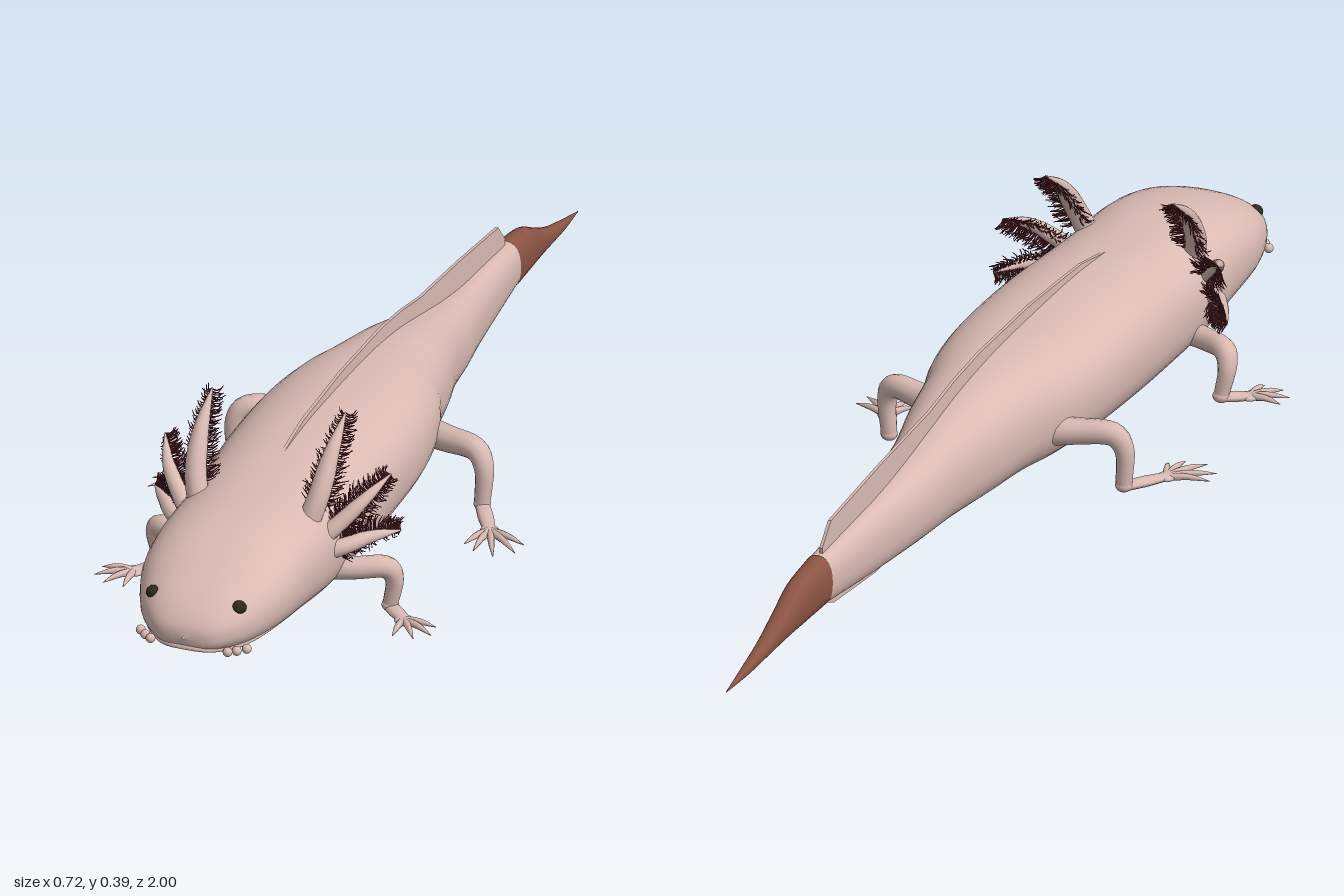
import * as THREE from 'three';
import { mergeGeometries } from 'three/addons/utils/BufferGeometryUtils.js';

const V = (p) => new THREE.Vector3(...p);
const material = (name, color) => Object.assign(new THREE.MeshStandardMaterial({ color }), { name });

// Cross-section stations from nose to tail: z, half width, top, bottom
const bodyStations = [
  [0.997, 0.002, 0.141, 0.138], [0.99, 0.05, 0.163, 0.115], [0.965, 0.085, 0.19, 0.102], [0.92, 0.115, 0.218, 0.088],
  [0.84, 0.142, 0.25, 0.075], [0.74, 0.152, 0.268, 0.058], [0.62, 0.157, 0.267, 0.037], [0.5, 0.16, 0.272, 0.03],
  [0.36, 0.165, 0.275, 0.03], [0.2, 0.163, 0.267, 0.033], [0.08, 0.145, 0.258, 0.033], [0, 0.12, 0.248, 0.033],
  [-0.1, 0.1, 0.23, 0.03], [-0.2, 0.076, 0.205, 0.028], [-0.3, 0.063, 0.18, 0.026], [-0.4, 0.047, 0.16, 0.024],
  [-0.5, 0.038, 0.148, 0.028], [-0.64, 0.029, 0.132, 0.038],
];
const tailStations = [
  [-0.635, 0.03, 0.135, 0.036], [-0.72, 0.026, 0.12, 0.032], [-0.78, 0.021, 0.09, 0.029],
  [-0.85, 0.015, 0.056, 0.023], [-0.92, 0.009, 0.034, 0.015], [-1, 0.0005, 0.013, 0.011],
];
const POWER = 2.35;

function sampler(stations) {
  const shape = new THREE.CatmullRomCurve3(stations.map((s) => V(s.slice(1))), false, 'catmullrom');
  const depth = new THREE.CatmullRomCurve3(stations.map((s) => V([0, 0, s[0]])), false, 'catmullrom');
  return (t) => {
    const s = shape.getPoint(t);
    return { z: depth.getPoint(t).z, w: s.x, cy: (s.y + s.z) / 2, h: (s.y - s.z) / 2 };
  };
}

// Smooth skin through rounded cross-sections
function loft(stations, sides) {
  const at = sampler(stations), rows = (stations.length - 1) * 4;
  const pos = [], index = [];
  const round = (v) => Math.sign(v) * Math.abs(v) ** (2 / POWER);
  for (let i = 0; i <= rows; i++) {
    const s = at(i / rows);
    for (let j = 0; j < sides; j++) {
      const a = (j / sides) * Math.PI * 2;
      pos.push(s.w * round(Math.cos(a)), s.cy + s.h * round(Math.sin(a)), s.z);
      if (i === rows) continue;
      const p = i * sides + j, q = i * sides + ((j + 1) % sides);
      index.push(p, p + sides, q, q, p + sides, q + sides);
    }
  }
  const g = new THREE.BufferGeometry();
  g.setAttribute('position', new THREE.Float32BufferAttribute(pos, 3));
  g.setIndex(index);
  g.computeVertexNormals();
  return g;
}

// Tube along points whose radius follows a list of values
function taper(points, radii, segments = 16, sides = 10) {
  const curve = new THREE.CatmullRomCurve3(points.map(V));
  const g = new THREE.TubeGeometry(curve, segments, 1, sides);
  const p = g.attributes.position, v = new THREE.Vector3();
  for (let i = 0; i <= segments; i++) {
    const c = curve.getPointAt(i / segments), f = (i / segments) * (radii.length - 1);
    const k = Math.min(Math.floor(f), radii.length - 2);
    const r = THREE.MathUtils.lerp(radii[k], radii[k + 1], f - k);
    for (let j = 0; j <= sides; j++) {
      const n = i * (sides + 1) + j;
      v.fromBufferAttribute(p, n).sub(c).multiplyScalar(r).add(c);
      p.setXYZ(n, v.x, v.y, v.z);
    }
  }
  return g;
}

function ball(r, [x, y, z], [sx, sy, sz] = [1, 1, 1]) {
  return new THREE.SphereGeometry(r, 14, 10).scale(sx, sy, sz).translate(x, y, z);
}

// Thin upright fin from a z, y outline
function fin(outline) {
  const shape = new THREE.Shape(outline.map(([z, y]) => new THREE.Vector2(z, y)));
  return new THREE.ExtrudeGeometry(shape, { depth: 0.006, bevelEnabled: false }).rotateY(-Math.PI / 2).translate(0.003, 0, 0);
}

// Fringe of fine hairs along both edges and the back of a gill stalk
function fringe(points, seed) {
  let s = seed;
  const rnd = () => (s = (s * 16807) % 2147483647) / 2147483647;
  const curve = new THREE.CatmullRomCurve3(points.map(V)), hairs = [];
  for (let i = 0; i < 42; i++) {
    const t = 0.25 + (0.74 * i) / 41, c = curve.getPointAt(t), tan = curve.getTangentAt(t);
    const side = new THREE.Vector3().crossVectors(tan, V([0, 0, 1])).normalize();
    const back = new THREE.Vector3().crossVectors(side, tan).normalize();
    if (back.z > 0) back.negate();
    for (const k of [-1, -0.5, 0.5, 1]) {
      const dir = side.clone().multiplyScalar(k).addScaledVector(back, 0.35 + rnd() * 0.5).normalize();
      const len = (0.034 + rnd() * 0.016) * (1 - 0.5 * t * t);
      const mid = c.clone().addScaledVector(dir, len * 0.6);
      const tip = c.clone().addScaledVector(dir, len).addScaledVector(tan, 0.004 + rnd() * 0.012);
      tip.y += (rnd() - 0.5) * 0.008;
      hairs.push(taper([c.toArray(), mid.toArray(), tip.toArray()], [0.0015, 0.0014, 0.0008], 3, 3));
    }
  }
  return mergeGeometries(hairs);
}

// Bent leg, flat palm and spread toes
function leg(joints, radii, palm, toes) {
  const ankle = joints[joints.length - 1];
  return mergeGeometries([
    taper(joints, radii, 28, 12),
    ball(0.016, ankle, [1, 0.8, 1]),
    taper([ankle, palm], [0.014, 0.015, 0.012], 6, 10).scale(1, 0.6, 1).translate(0, 0.004, 0),
    ball(0.018, palm, [1, 0.4, 1]),
    ...toes.map(([x, z]) => taper([palm, [(palm[0] + x) / 2, 0.012, (palm[2] + z) / 2], [x, 0.006, z]], [0.008, 0.007, 0.005, 0.0005], 8, 7)),
  ]);
}

export function createModel() {
  const model = new THREE.Group();
  const skin = material('pale pink skin', 0xd9bab3);
  const brown = material('brown tail', 0x8c5443);
  const maroon = material('maroon gill fringe', 0x6b2a32);
  const dark = material('dark eye', 0x2c2a1c);
  const add = (name, geometry, mat, parent = model) => {
    const mesh = new THREE.Mesh(geometry, mat);
    mesh.name = name;
    parent.add(mesh);
  };

  add('body', loft(bodyStations, 40), skin);
  add('tailTip', loft(tailStations, 24), brown);
  add('dorsalFin', fin([[0.57, 0.26], [0.4, 0.287], [0.2, 0.289], [0, 0.277], [-0.1, 0.262], [-0.2, 0.24],
    [-0.4, 0.215], [-0.59, 0.186], [-0.625, 0.145], [-0.62, 0.1], [-0.2, 0.12], [0.4, 0.2]]), skin);
  add('ventralFin', fin([[-0.1, 0.06], [-0.12, 0.03], [-0.28, 0.016], [-0.42, 0.009], [-0.58, 0.017], [-0.635, 0.042], [-0.62, 0.08]]), skin);

  // Upper lip wraps the snout on the body surface
  const at = sampler(bodyStations), right = [];
  for (let i = 0; i <= 8; i++) {
    const q = at((0.95 + (i / 8) * 3) / (bodyStations.length - 1));
    const y = Math.max(0.117 + Math.sin((i / 8) * Math.PI) * -0.004, q.cy - q.h * 0.93);
    right.push([q.w * (1 - Math.abs((y - q.cy) / q.h) ** POWER) ** (1 / POWER), y, q.z]);
  }
  const left = right.map(([x, y, z]) => [-x, y, z]).reverse();
  add('upperLip', taper([...left, ...right], [0.001, 0.005, 0.005, 0.005, 0.001], 48, 8), skin);

  const gills = [
    [[0.1, 0.2, 0.65], [0.12, 0.27, 0.625], [0.127, 0.335, 0.58], [0.13, 0.388, 0.515]],
    [[0.12, 0.18, 0.64], [0.155, 0.213, 0.615], [0.19, 0.25, 0.58], [0.22, 0.28, 0.52]],
    [[0.12, 0.155, 0.64], [0.165, 0.168, 0.615], [0.2, 0.174, 0.575], [0.24, 0.168, 0.52]],
  ];
  const gillRadii = [[0.022, 0.021, 0.019, 0.012, 0.001], [0.019, 0.016, 0.014, 0.009, 0.001], [0.018, 0.016, 0.014, 0.009, 0.001]];

  for (const side of [1, -1]) {
    const half = new THREE.Group();
    half.name = side > 0 ? 'leftSide' : 'rightSide';
    half.scale.x = side;
    model.add(half);

    add('eye', ball(0.0135, [0.083, 0.187, 0.935], [1.05, 0.95, 1]), dark, half);
    add('lipBumps', mergeGeometries([[0.075, 0.972], [0.089, 0.962], [0.103, 0.948]].map(([x, z]) => ball(0.009, [x, 0.112, z]))), skin, half);
    gills.forEach((points, i) => {
      add('gillStalk', taper(points, gillRadii[i], 18, 12), skin, half);
      add('gillFringe', fringe(points, 101 + i * 57), maroon, half);
    });
    add('frontLeg', leg(
      [[0.1, 0.1, 0.59], [0.17, 0.102, 0.57], [0.222, 0.1, 0.545], [0.232, 0.075, 0.535], [0.222, 0.016, 0.53]],
      [0.024, 0.022, 0.021, 0.021, 0.016, 0.014], [0.262, 0.009, 0.565],
      [[0.325, 0.565], [0.328, 0.598], [0.302, 0.622], [0.262, 0.625]]), skin, half);
    add('hindLeg', leg(
      [[0.08, 0.115, 0.05], [0.16, 0.12, 0.08], [0.226, 0.118, 0.1], [0.242, 0.09, 0.107], [0.24, 0.016, 0.11]],
      [0.03, 0.027, 0.024, 0.022, 0.017, 0.015], [0.285, 0.009, 0.19],
      [[0.362, 0.215], [0.358, 0.25], [0.325, 0.278], [0.283, 0.27], [0.258, 0.25]]), skin, half);
  }
  return model;
}
